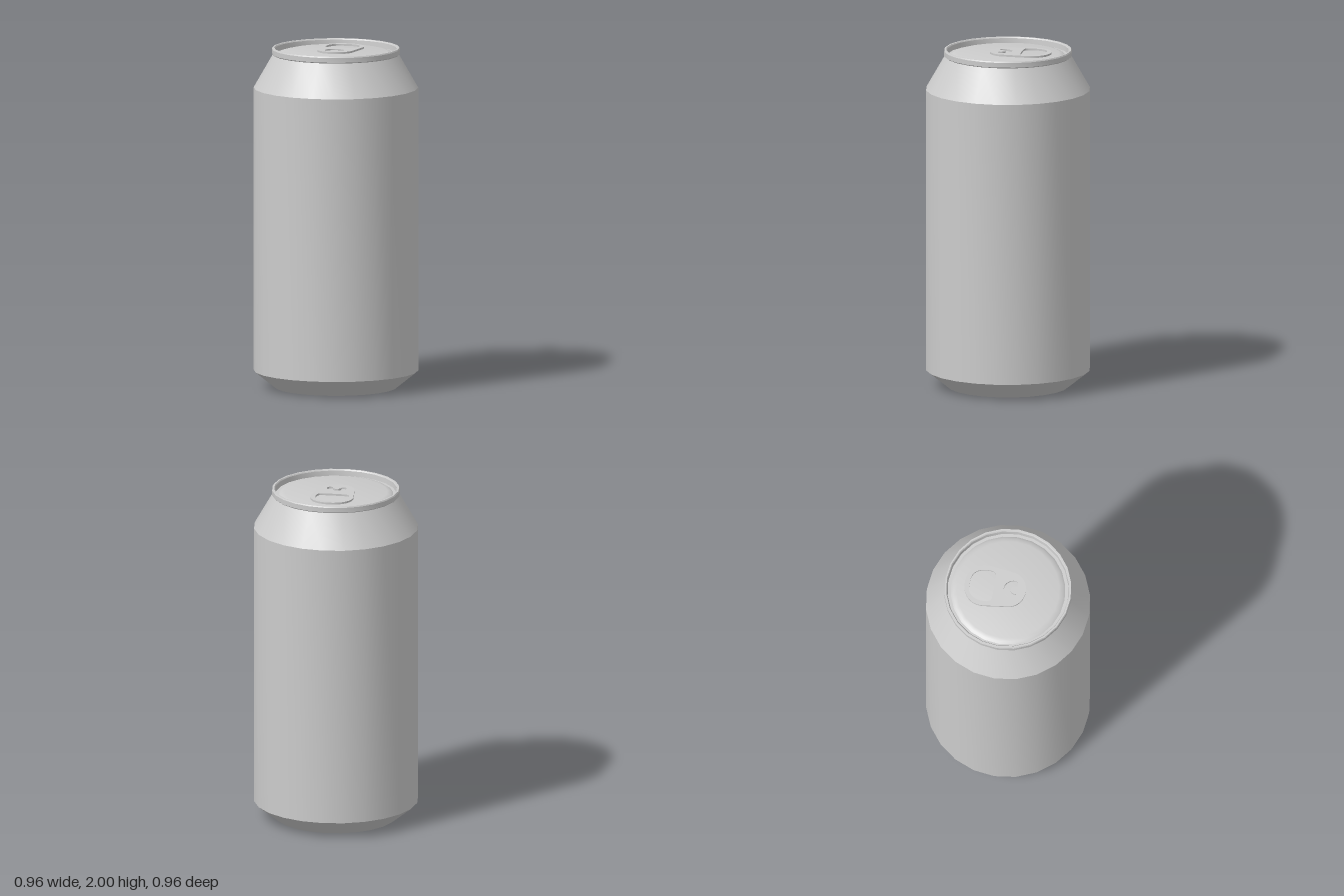
import * as THREE from 'three';
import { toCreasedNormals } from 'three/addons/utils/BufferGeometryUtils.js';

const SIDES = 24;
const material = new THREE.MeshStandardMaterial({ color: 0xcccccc });

function addMesh(group, name, geometry, crease = 0.45) {
  const mesh = new THREE.Mesh(toCreasedNormals(geometry, crease), material);
  mesh.name = name;
  group.add(mesh);
  return mesh;
}

// Revolved part from [radius, height] pairs
function addTurned(group, name, profile) {
  const points = profile.map(([r, y]) => new THREE.Vector2(r, y));
  addMesh(group, name, new THREE.LatheGeometry(points, SIDES));
}

// Pull tab outline, drawn with +y pointing to the back of the can
function tabShape() {
  const shape = new THREE.Shape();
  shape.moveTo(0, -0.105);
  shape.bezierCurveTo(0.06, -0.105, 0.1, -0.065, 0.106, -0.02);
  shape.lineTo(0.124, 0.12);
  shape.bezierCurveTo(0.134, 0.2, 0.08, 0.255, 0, 0.255);
  shape.bezierCurveTo(-0.08, 0.255, -0.134, 0.2, -0.124, 0.12);
  shape.lineTo(-0.106, -0.02);
  shape.bezierCurveTo(-0.1, -0.065, -0.06, -0.105, 0, -0.105);

  // Finger opening
  const finger = new THREE.Path();
  finger.moveTo(-0.07, 0.083);
  finger.quadraticCurveTo(0, 0.079, 0.07, 0.083);
  finger.quadraticCurveTo(0.094, 0.085, 0.096, 0.115);
  finger.bezierCurveTo(0.102, 0.185, 0.07, 0.226, 0.02, 0.226);
  finger.lineTo(-0.02, 0.226);
  finger.bezierCurveTo(-0.07, 0.226, -0.102, 0.185, -0.096, 0.115);
  finger.quadraticCurveTo(-0.094, 0.085, -0.07, 0.083);

  // Arched slot around the rivet tongue
  const slot = new THREE.Path();
  slot.moveTo(0.057, -0.032);
  slot.absarc(0, -0.032, 0.057, 0, Math.PI, false);
  slot.quadraticCurveTo(-0.055, -0.053, -0.038, -0.052);
  slot.lineTo(-0.024, -0.052);
  slot.lineTo(-0.024, -0.04);
  slot.absarc(0, -0.04, 0.024, Math.PI, 0, true);
  slot.lineTo(0.024, -0.052);
  slot.lineTo(0.038, -0.052);
  slot.quadraticCurveTo(0.055, -0.053, 0.057, -0.032);

  shape.holes.push(finger, slot);
  return shape;
}

export function createModel() {
  const can = new THREE.Group();
  can.name = 'drinkCan';

  // Recessed base and its standing rim
  addTurned(can, 'base', [[0, 0.045], [0.342, 0.045], [0.349, 0], [0.355, 0]]);

  // Lower chamfer, straight wall and sloping neck
  addTurned(can, 'body', [[0.355, 0], [0.48, 0.1], [0.48, 1.765], [0.368, 1.96]]);

  // Rolled rim with the groove inside it
  addTurned(can, 'rim', [
    [0.368, 1.96], [0.374, 1.965], [0.374, 1.993], [0.37, 2], [0.361, 2],
    [0.356, 1.993], [0.353, 1.963], [0.335, 1.963],
  ]);

  // Lid with a softly rounded edge
  addTurned(can, 'lid', [[0.335, 1.963], [0.322, 1.972], [0.3, 1.977], [0, 1.977]]);

  // Pull tab lying on the lid
  const tab = new THREE.ExtrudeGeometry(tabShape(), { depth: 0.012, bevelEnabled: false, curveSegments: 10 });
  tab.rotateX(-Math.PI / 2);
  addMesh(can, 'pullTab', tab, 0.7).position.y = 1.976;

  return can;
}
